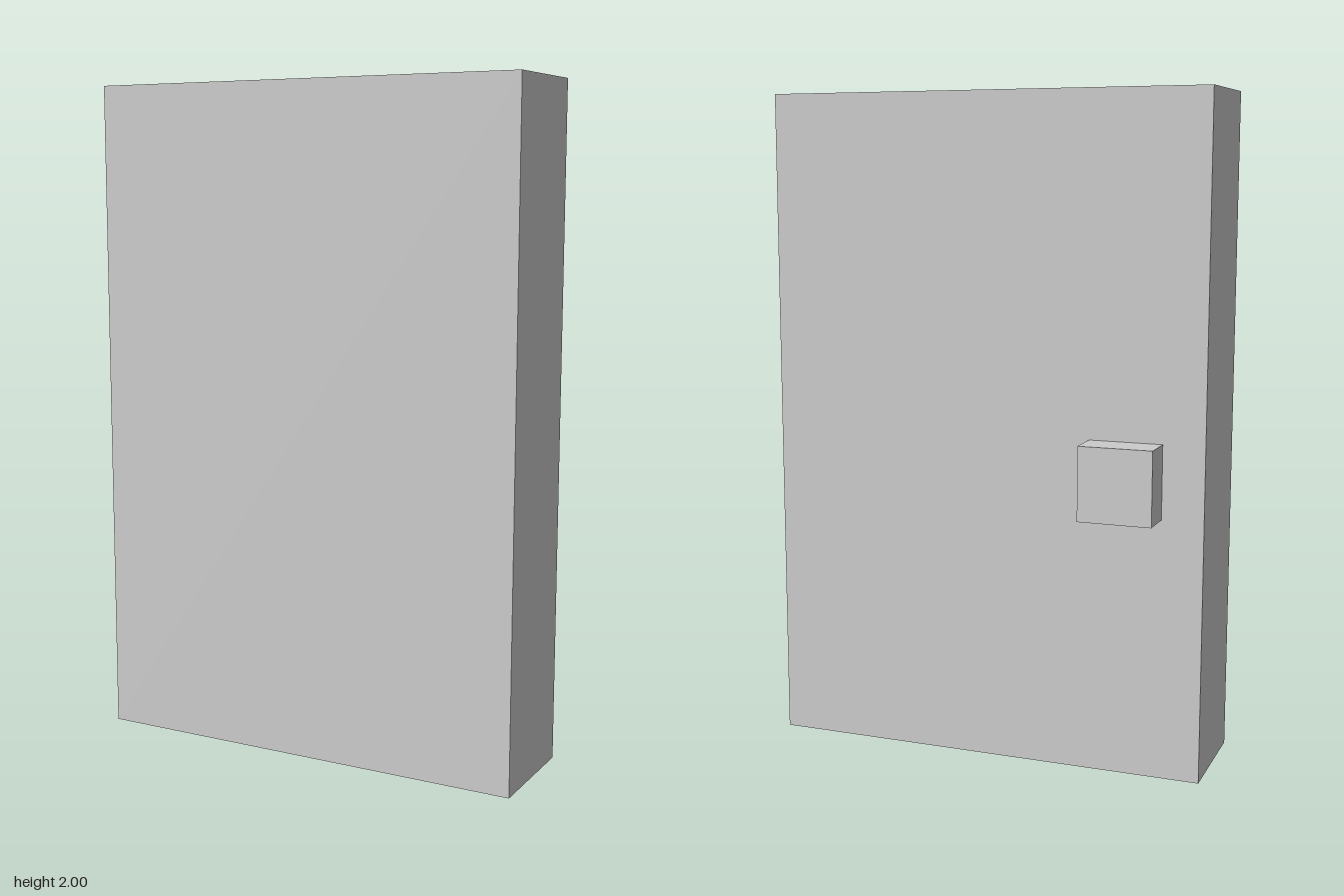
import * as THREE from 'three';

const material = new THREE.MeshStandardMaterial({ color: 0xcccccc, flatShading: true });

// Box given by its lower and upper corners
function box(name, min, max) {
  const size = max.map((v, i) => v - min[i]);
  const mesh = new THREE.Mesh(new THREE.BoxGeometry(...size), material);
  mesh.position.set(...max.map((v, i) => (v + min[i]) / 2));
  mesh.name = name;
  return mesh;
}

export function createModel() {
  const door = new THREE.Group();
  door.name = 'door';
  const backFace = -0.12;

  // Thick door slab
  door.add(box('doorPanel', [-0.675, 0, backFace], [0.675, 2, 0.23]));

  // Square handle on the back face, near the right edge
  door.add(box('doorHandle', [-0.55, 0.78, -0.23], [-0.33, 1, backFace]));

  return door;
}
